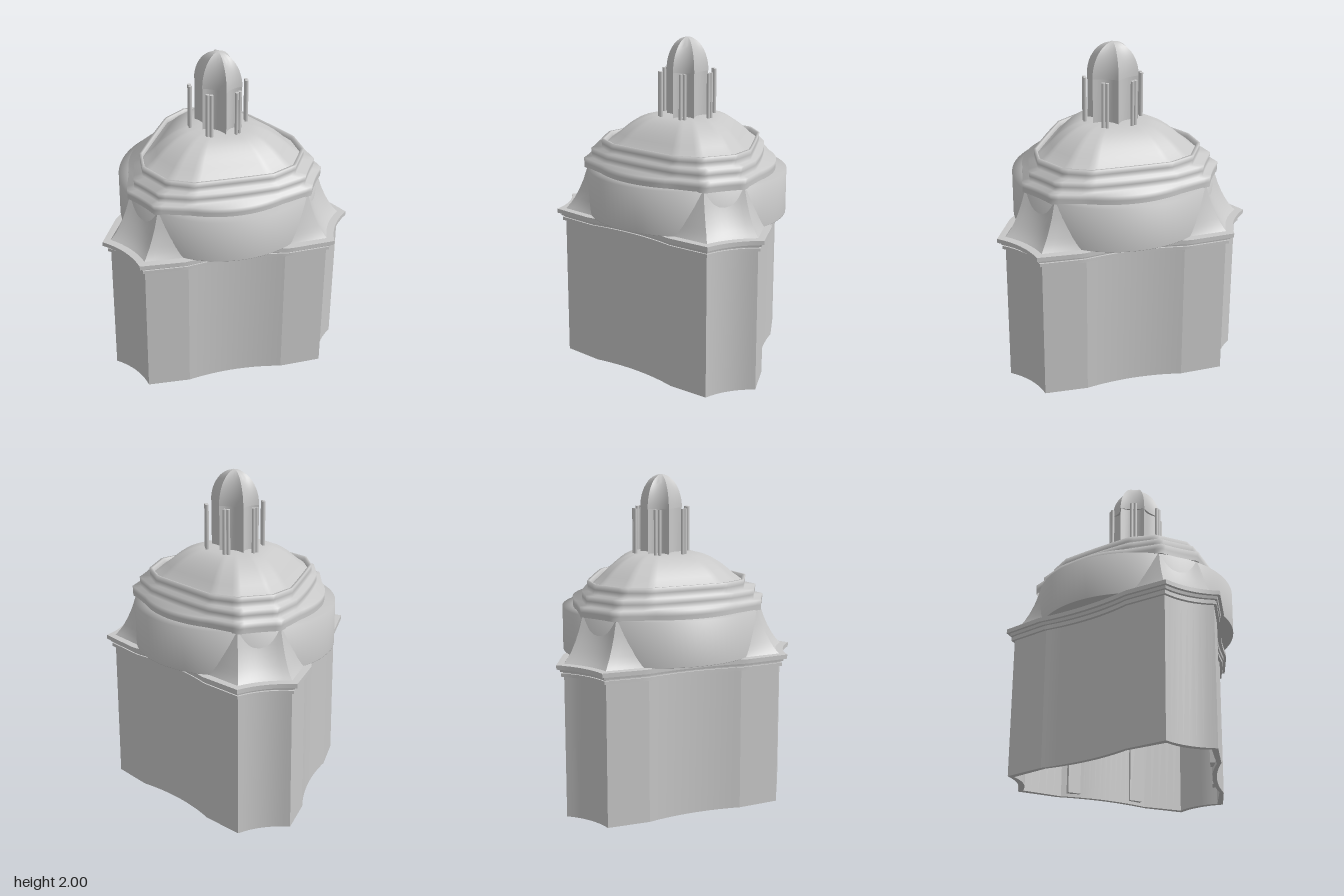
import * as THREE from 'three';
import { toCreasedNormals } from 'three/addons/utils/BufferGeometryUtils.js';

const stone = new THREE.MeshStandardMaterial({ color: 0xc8c8c8, side: THREE.DoubleSide });
stone.name = 'pale grey stone';

const KINK = Math.PI / 6;

// Three-pointed plan: d = distance to each blunt point, w = its half width,
// k = radius of the kink beside it, m = radius at the middle of each lobe, c = hollow of the point
function plan({ d, w, k, m, c = 0 }) {
  const pts = [];
  const half = k * Math.sin(KINK), depth = k * Math.cos(KINK);
  for (let i = 0; i < 3; i++) {
    const a = i * Math.PI * 2 / 3;
    const add = (x, z, turn = 0) => pts.push([
      x * Math.cos(a + turn) + z * Math.sin(a + turn),
      z * Math.cos(a + turn) - x * Math.sin(a + turn)]);
    // straight flank, hollow point, straight flank, lobe
    for (let j = 1; j < 5; j++) add(-half + (half - w) * j / 5, depth + (d - depth) * j / 5);
    for (let j = 0; j <= 8; j++) {
      const t = j / 4 - 1;
      add(w * t, d - c * (1 - t * t));
    }
    for (let j = 1; j < 5; j++) add(w + (half - w) * j / 5, d + (depth - d) * j / 5);
    for (let j = 0; j <= 16; j++) {
      const t = j / 8 - 1;
      add(half * t, depth + (m - depth) * (1 - t * t), Math.PI / 3);
    }
  }
  return pts;
}

// Six-pointed plan with hollow sides
function hexPlan(r, hollow) {
  const pts = [];
  for (let i = 0; i < 6; i++) {
    for (let j = 0; j < 8; j++) {
      const t = j / 4 - 1, a = (i + 0.5) * Math.PI / 3;
      const x = t * r / 2, z = r * (0.866 - hollow * (1 - t * t));
      pts.push([x * Math.cos(a) + z * Math.sin(a), (z * Math.cos(a) - x * Math.sin(a)) * 0.79]);
    }
  }
  return pts;
}

const scaled = (pts, s) => pts.map(([x, z]) => [x * s, z * s]);

// Skin through a stack of [y, points] rings
function loft(rings, crease) {
  const n = rings[0][1].length, pos = [], idx = [];
  for (const [y, pts] of rings) for (const [x, z] of pts) pos.push(x, y, z);
  for (let r = 0; r < rings.length - 1; r++) {
    for (let i = 0; i < n; i++) {
      const a = r * n + i, b = r * n + (i + 1) % n;
      idx.push(a, b, b + n, a, b + n, a + n);
    }
  }
  const g = new THREE.BufferGeometry();
  g.setAttribute('position', new THREE.Float32BufferAttribute(pos, 3));
  g.setIndex(idx);
  return toCreasedNormals(g, crease);
}

export function createModel() {
  const model = new THREE.Group();
  const body = new THREE.Group();
  body.name = 'chapel';
  body.position.z = -0.09;
  model.add(body);

  const add = (name, geometry, parent = body) => {
    const mesh = new THREE.Mesh(geometry, stone);
    mesh.name = name;
    parent.add(mesh);
    return mesh;
  };

  // Hollow walls, open underneath, with a rim joining the inner and outer faces
  const outer = plan({ d: 0.735, w: 0.158, k: 0.595, m: 0.482, c: 0.03 });
  const inner = plan({ d: 0.7, w: 0.138, k: 0.565, m: 0.455, c: 0.03 });
  add('walls', loft([[0.9, inner], [0, inner], [0, outer], [0.87, outer]], 0.17));

  // Slim pilasters inside, beside each kink
  const pilasters = new THREE.Group();
  pilasters.name = 'innerPilasters';
  body.add(pilasters);
  for (let i = 0; i < 3; i++) {
    for (const s of [-1, 1]) {
      const a = i * Math.PI * 2 / 3 + s * (KINK + 0.1);
      const p = add('pilaster', new THREE.BoxGeometry(0.08, 0.86, 0.03), pilasters);
      p.position.set(Math.sin(a) * 0.51, 0.45, Math.cos(a) * 0.51);
      p.rotation.y = i * Math.PI * 2 / 3 + s * Math.PI / 3;
    }
  }

  // Stepped cornice: each entry is [y, overhang]
  const cornice = [[0.865, 0], [0.865, 0.02], [0.885, 0.02], [0.885, 0.008], [0.895, 0.008],
    [0.895, 0.026], [0.912, 0.03], [0.912, 0.05], [0.938, 0.05], [0.94, 0.0], [0.94, -0.06]];
  add('cornice', loft(cornice.map(([y, o]) => [y, plan({
    d: 0.735 + o, w: 0.158 + o * 0.3, k: 0.595 + o, m: 0.482 + o, c: 0.03 })]), 1.2));

  // Round drum, softly shaded over its top edge
  add('drum', new THREE.LatheGeometry([
    [0.45, 0.938], [0.61, 0.938], [0.61, 0.94], [0.61, 1.205], [0.5, 1.205], [0.43, 1.205],
  ].map(([x, y]) => new THREE.Vector2(x, y)), 96));

  // Flaring buttresses over the three points
  add('buttresses', loft([
    [0.94, 0.735, 0.158, 0.595], [0.955, 0.72, 0.153, 0.588], [0.98, 0.7, 0.147, 0.58],
    [1.01, 0.68, 0.143, 0.572], [1.06, 0.653, 0.137, 0.563], [1.12, 0.627, 0.132, 0.553],
    [1.205, 0.6, 0.126, 0.545], [1.205, 0.5, 0.1, 0.5],
  ].map(([y, d, w, k]) => [y, plan({ d, w, k, m: 0.46, c: 0.025 })]), 0.5));

  // Three receding steps
  const steps = [
    { d: 0.62, w: 0.122, k: 0.553, m: 0.543, c: 0.008 },
    { d: 0.575, w: 0.112, k: 0.518, m: 0.46, c: 0.004 },
    { d: 0.512, w: 0.106, k: 0.483, m: 0.42 },
  ];
  const stepRings = [];
  steps.forEach((p, i) => {
    const y = 1.2 + i * 0.06, pts = plan(p);
    const lip = plan({ ...p, d: p.d + 0.003, m: p.m + 0.003 });
    stepRings.push([y, pts], [y + 0.03, pts], [y + 0.06, lip]);
  });
  const top = plan(steps[2]);
  stepRings.push([1.38, scaled(top, 0.97)], [1.35, scaled(top, 0.96)]);
  add('steps', loft(stepRings, 1.7));

  // Shallow dome
  add('dome', loft([
    [1.35, 0.965], [1.368, 0.915], [1.388, 0.86], [1.415, 0.8], [1.445, 0.73], [1.47, 0.66],
    [1.495, 0.58], [1.515, 0.49], [1.527, 0.4], [1.532, 0.25], [1.534, 0.0],
  ].map(([y, s]) => [y, scaled(top, s)]), 1));

  // Lantern: deeply hollowed core under an overhanging ribbed cap
  const lantern = new THREE.Group();
  lantern.name = 'lantern';
  body.add(lantern);
  const core = hexPlan(0.16, 0.2), brim = hexPlan(0.162, 0.1);
  add('lanternCore', loft([[1.52, core], [1.8, core]], 0.4), lantern);
  const capRings = [[1.8, core]];
  for (let i = 0; i <= 12; i++) {
    const a = i / 12 * Math.PI / 2;
    capRings.push([1.8 + 0.2 * Math.sin(a), scaled(brim, Math.cos(a))]);
  }
  add('lanternCap', loft(capRings, 0.4), lantern);

  // Paired colonnettes in front of each hollow side
  for (let i = 0; i < 6; i++) {
    for (const s of [-1, 1]) {
      const a = (i + 0.5) * Math.PI / 3 + s * 0.07;
      const col = add('colonnette', new THREE.CylinderGeometry(0.011, 0.011, 0.28, 12), lantern);
      col.position.set(Math.sin(a) * 0.173, 1.66, Math.cos(a) * 0.173);
    }
  }

  return model;
}
